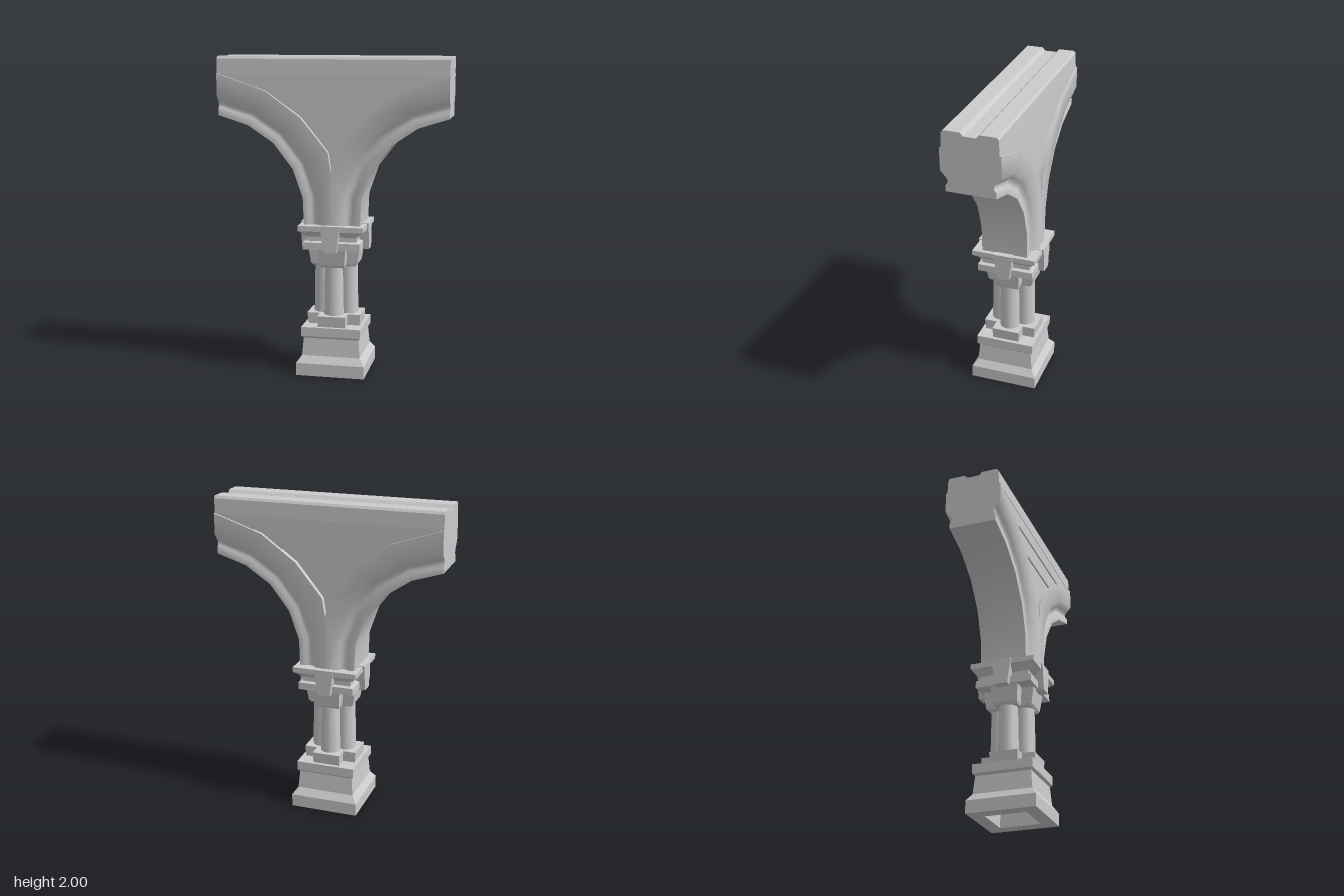
import * as THREE from 'three';
import { toCreasedNormals } from 'three/addons/utils/BufferGeometryUtils.js';

const flat = new THREE.MeshStandardMaterial({ color: 0xcccccc, flatShading: true });
const smooth = new THREE.MeshStandardMaterial({ color: 0xcccccc, side: THREE.DoubleSide });
const v2 = (pts) => pts.map(([x, y]) => new THREE.Vector2(x, y));

function part(name, geometry, material = flat) {
  const mesh = new THREE.Mesh(geometry, material);
  mesh.name = name;
  return mesh;
}

// Square moulding from a profile of [half width, height], bottom to top
function squareTurned(profile) {
  const pts = profile.map(([r, y]) => new THREE.Vector2(r * Math.SQRT2, y));
  return new THREE.LatheGeometry(pts, 4, Math.PI / 4);
}

// Outline extruded along z, centred on z = 0
function slab(points, depth) {
  const geo = new THREE.ExtrudeGeometry(new THREE.Shape(v2(points)), { depth, bevelEnabled: false });
  return geo.translate(0, 0, -depth / 2);
}

// Cross-shaped block with tapering sides
function crossBlock(arm, half, y0, y1, bottomScale) {
  const pts = [];
  for (let i = 0; i < 4; i++) {
    const c = Math.round(Math.cos(i * Math.PI / 2)), s = Math.round(Math.sin(i * Math.PI / 2));
    for (const [x, y] of [[half, -half], [arm, -half], [arm, half]]) pts.push([x * c - y * s, x * s + y * c]);
  }
  const geo = slab(pts, y1 - y0).rotateX(-Math.PI / 2).translate(0, (y0 + y1) / 2, 0);
  const p = geo.attributes.position;
  for (let i = 0; i < p.count; i++) {
    const k = THREE.MathUtils.lerp(bottomScale, 1, (p.getY(i) - y0) / (y1 - y0));
    p.setX(i, p.getX(i) * k);
    p.setZ(i, p.getZ(i) * k);
  }
  return geo;
}

// Inner curve of the half arch, and the outer edge opposite each point
const INNER = v2([[0.178, 0.95], [0.185, 1.13], [0.248, 1.31], [0.37, 1.468], [0.53, 1.575], [0.72, 1.635]]);
const OUTER = v2([[0, 0.95], [0, 1.3], [0.02, 1.42], [0.19, 1.63], [0.41, 1.79], [0.72, 1.895]]);
// Moulding section: distance from the inner curve, half thickness
const MOULDING = [[0, 0.148], [0.035, 0.15], [0.055, 0.137], [0.075, 0.136], [0.095, 0.152], [0.125, 0.178]];

// Points around the arch section at one station, back to front
function archRing(i) {
  const last = INNER.length - 1;
  const t = INNER[Math.min(i + 1, last)].clone().sub(INNER[Math.max(i - 1, 0)]).normalize();
  if (i === 0) t.set(0, 1);
  if (i === last) t.set(1, 0);
  const side = MOULDING.map(([d, z]) => [INNER[i].x - t.y * d, INNER[i].y + t.x * d, z]);
  side.push([OUTER[i].x, OUTER[i].y, 0.18], [OUTER[i].x, OUTER[i].y, 0.13]);
  const back = side.map(([x, y, z]) => [x, y, -z]).reverse();
  return [...back, ...side];
}

function archGeometry() {
  const rings = INNER.map((_, i) => archRing(i));
  const n = rings[0].length, index = [];
  for (let i = 0; i < rings.length - 1; i++) {
    for (let j = 0; j < n - 1; j++) {
      const a = i * n + j, b = a + n;
      index.push(a, b, a + 1, b, b + 1, a + 1);
    }
  }
  const geo = new THREE.BufferGeometry();
  geo.setAttribute('position', new THREE.Float32BufferAttribute(rings.flat(2), 3));
  geo.setIndex(index);
  return toCreasedNormals(geo, 0.9);
}

export function createModel() {
  const model = new THREE.Group();
  model.name = 'archedPillar';

  // Hollow plinth
  model.add(part('base', squareTurned([
    [0.13, 0.24], [0.13, 0], [0.218, 0], [0.218, 0.08], [0.186, 0.125], [0.176, 0.238],
    [0.19, 0.252], [0.19, 0.31], [0, 0.31],
  ])));
  model.add(part('columnFoot', crossBlock(0.172, 0.09, 0.31, 0.38, 0.97)));

  // Four clustered shafts
  for (let i = 0; i < 4; i++) {
    const a = i * Math.PI / 2;
    const shaft = part('shaft', new THREE.CylinderGeometry(0.058, 0.064, 0.34, 16, 1, true), smooth);
    shaft.position.set(Math.cos(a) * 0.08, 0.54, Math.sin(a) * 0.08);
    model.add(shaft);
  }
  model.add(part('neckRim', crossBlock(0.146, 0.08, 0.69, 0.705, 0.93)));
  model.add(part('neck', crossBlock(0.165, 0.088, 0.705, 0.81, 0.9)));

  // Capital with a wedge on every side
  model.add(part('capital', squareTurned([
    [0, 0.81], [0.18, 0.81], [0.18, 0.855], [0.158, 0.862], [0.158, 0.89],
    [0.197, 0.925], [0.206, 0.93], [0.206, 0.963], [0, 0.963],
  ])));
  for (let i = 0; i < 4; i++) {
    const wedge = part('capitalWedge', slab([[-0.04, 0.8], [0.04, 0.8], [0.062, 0.967], [-0.062, 0.967]], 0.08)
      .translate(0, 0, 0.177));
    wedge.rotation.y = i * Math.PI / 2;
    model.add(wedge);
  }

  // Two half arches with their end faces
  const archGeo = archGeometry();
  const endShape = new THREE.Shape(v2(archRing(INNER.length - 1).map(([, y, z]) => [z, y])));
  const endGeo = new THREE.ShapeGeometry(endShape).rotateY(Math.PI / 2).translate(0.72, 0, 0);
  for (const turn of [0, Math.PI]) {
    const half = new THREE.Group();
    half.name = turn ? 'rightArch' : 'leftArch';
    half.add(part('archMoulding', archGeo, smooth), part('archEnd', endGeo));
    half.rotation.y = turn;
    model.add(half);
  }

  // Spandrel, stepping back downwards
  const mirrored = (right) => [...right, ...right.map(([x, y]) => [-x, y]).reverse()];
  model.add(part('spandrelTop', slab(mirrored([[0.47, 1.81], [0.72, 1.895]]), 0.334)));
  model.add(part('spandrelMiddle', slab(mirrored([[0.286, 1.7], [0.41, 1.79], [0.47, 1.81]]), 0.316)));
  model.add(part('spandrelBottom', slab(
    mirrored([[0.001, 1.3], [0.02, 1.42], [0.19, 1.63], [0.286, 1.7]]), 0.296)));

  // Top beam with a groove along its length
  const beam = mirrored([[0.17, 1.895], [0.166, 1.985], [0.156, 2], [0.057, 2], [0.037, 1.98]]);
  model.add(part('topBeam', slab(beam, 1.44).rotateY(Math.PI / 2)));

  return model;
}
